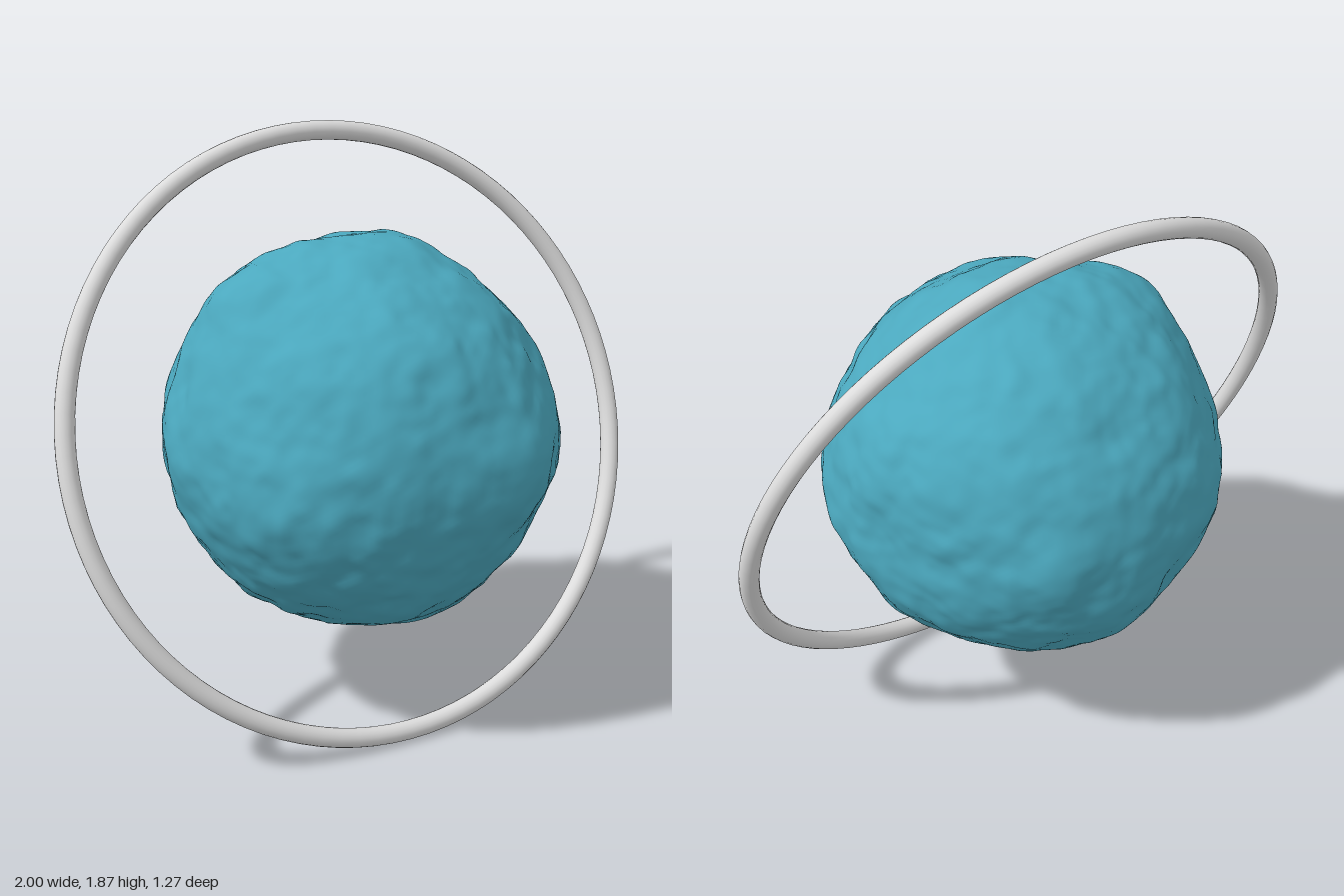
import * as THREE from 'three';
import { mergeVertices } from 'three/addons/utils/BufferGeometryUtils.js';

const CENTRE_Y = 0.94;
const BASE_RADIUS = 0.62;

// Broad rises and hollows: offset from the centre; its length is the local radius
const LUMPS = [
  [-0.45, 0.49, 0], [-0.28, 0.57, 0], [-0.1, 0.62, 0.05], [0.1, 0.63, 0.04],
  [0.43, 0.42, 0], [0.48, -0.43, 0], [0.63, -0.11, 0.08], [-0.64, 0.06, 0],
  [0.05, -0.64, 0], [0.23, -0.55, 0.24], [0, 0.41, 0.49], [0, -0.45, 0.44],
  [0, 0.36, -0.48], [0, -0.12, -0.61], [0, -0.27, -0.58], [0, -0.48, -0.42],
  [-0.35, 0, -0.54], [0.24, 0, -0.6], [0.43, 0, -0.42], [0.56, 0, -0.2],
  [0.3, 0, 0.61], [0.52, 0, 0.37], [-0.45, -0.12, 0.45], [-0.4, 0.16, 0.43],
  [-0.55, 0, 0.3]
].map(p => {
  const dir = new THREE.Vector3(...p);
  const rise = dir.length() - BASE_RADIUS;
  return { dir: dir.normalize(), rise };
});

// Smooth seeded lattice noise in the range -1 to 1
function hash(x, y, z) {
  let h = Math.imul(x, 374761393) ^ Math.imul(y, 668265263) ^ Math.imul(z, 873205921);
  h = Math.imul(h ^ (h >>> 13), 1274126177);
  h = Math.imul(h ^ (h >>> 15), 2246822519);
  return ((h ^ (h >>> 16)) >>> 0) / 2147483648 - 1;
}

function noise(x, y, z) {
  const i = Math.floor(x), j = Math.floor(y), k = Math.floor(z);
  const fade = t => t * t * t * (t * (t * 6 - 15) + 10);
  const u = fade(x - i), v = fade(y - j), w = fade(z - k);
  let sum = 0;
  for (let a = 0; a < 2; a++)
    for (let b = 0; b < 2; b++)
      for (let c = 0; c < 2; c++)
        sum += hash(i + a, j + b, k + c) * (a ? u : 1 - u) * (b ? v : 1 - v) * (c ? w : 1 - w);
  return sum;
}

function surfaceRadius(d) {
  let r = BASE_RADIUS;
  for (const { dir, rise } of LUMPS) r += rise * Math.exp((d.dot(dir) - 1) / 0.035);
  for (const [frequency, height] of [[4, 0.006], [8, 0.008], [16, 0.003]])
    r += height * noise(d.x * frequency + 7.3, d.y * frequency + 3.1, d.z * frequency + 5.7);
  return r;
}

// Rocky globe: a fine sphere pushed in and out along its normals
function createGlobe(material) {
  let geometry = new THREE.IcosahedronGeometry(1, 44);
  geometry.deleteAttribute('normal');
  geometry.deleteAttribute('uv');
  geometry = mergeVertices(geometry, 1e-4);
  const position = geometry.attributes.position;
  const d = new THREE.Vector3();
  for (let i = 0; i < position.count; i++) {
    d.fromBufferAttribute(position, i).normalize();
    d.multiplyScalar(surfaceRadius(d));
    position.setXYZ(i, d.x, d.y, d.z);
  }
  geometry.computeVertexNormals();
  const globe = new THREE.Mesh(geometry, material);
  globe.name = 'planet';
  globe.position.y = CENTRE_Y;
  return globe;
}

// Slim round ring, leaning back at the top
function createRing(material) {
  const ring = new THREE.Mesh(new THREE.TorusGeometry(0.969, 0.031, 16, 96), material);
  ring.name = 'ring';
  const axis = new THREE.Vector3(0.07, 0.382, 1).normalize();
  ring.quaternion.setFromUnitVectors(new THREE.Vector3(0, 0, 1), axis);
  ring.position.set(0, CENTRE_Y, 0.012);
  return ring;
}

export function createModel() {
  const teal = new THREE.MeshStandardMaterial({ color: 0x4ba8be });
  teal.name = 'teal rock';
  const grey = new THREE.MeshStandardMaterial({ color: 0xdcdcdc });
  grey.name = 'pale grey';

  const model = new THREE.Group();
  model.name = 'ringedPlanet';
  model.add(createGlobe(teal), createRing(grey));
  return model;
}
